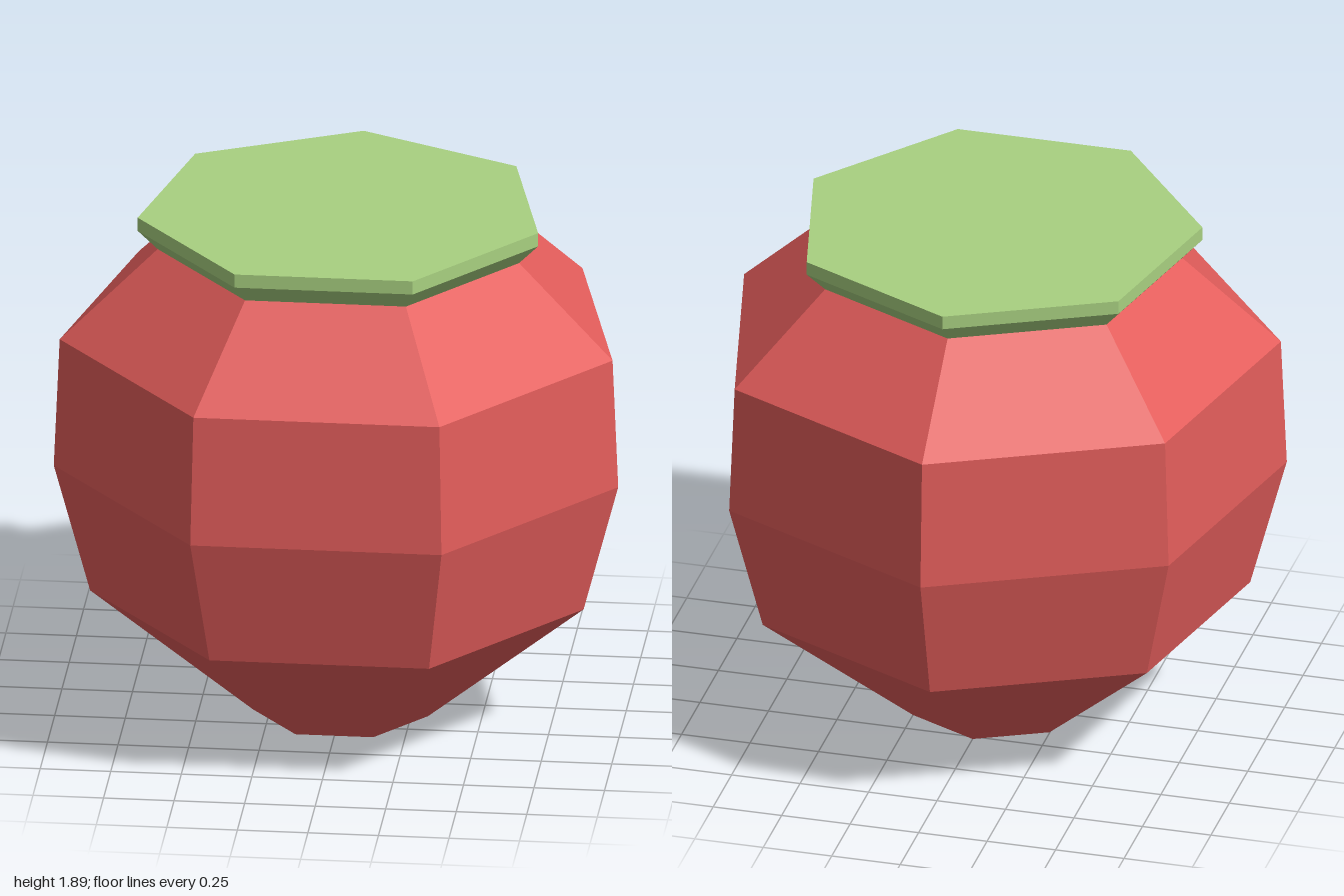
import * as THREE from 'three';

const SIDES = 7;

// Faceted solid of revolution with one corner pointing to the back
function facetedTurn(name, profile, color) {
  const points = profile.map(([r, y]) => new THREE.Vector2(r, y));
  const geometry = new THREE.LatheGeometry(points, SIDES, Math.PI);
  const mesh = new THREE.Mesh(geometry, new THREE.MeshStandardMaterial({ color, flatShading: true }));
  mesh.name = name;
  mesh.position.z = 0.051; // centres the seven-sided outline in depth
  return mesh;
}

export function createModel() {
  const group = new THREE.Group();
  group.name = 'jar';

  // Round-bellied pot, closed at the base
  group.add(facetedTurn('pot', [
    [0, 0], [0.318, 0], [0.897, 0.482], [1.026, 0.964], [1.005, 1.443], [0.657, 1.769],
  ], 0xe35d5b));

  // Flared lid with a flat top
  group.add(facetedTurn('lid', [
    [0.657, 1.769], [0.728, 1.842], [0.728, 1.892], [0, 1.892],
  ], 0xa8d080));

  return group;
}
